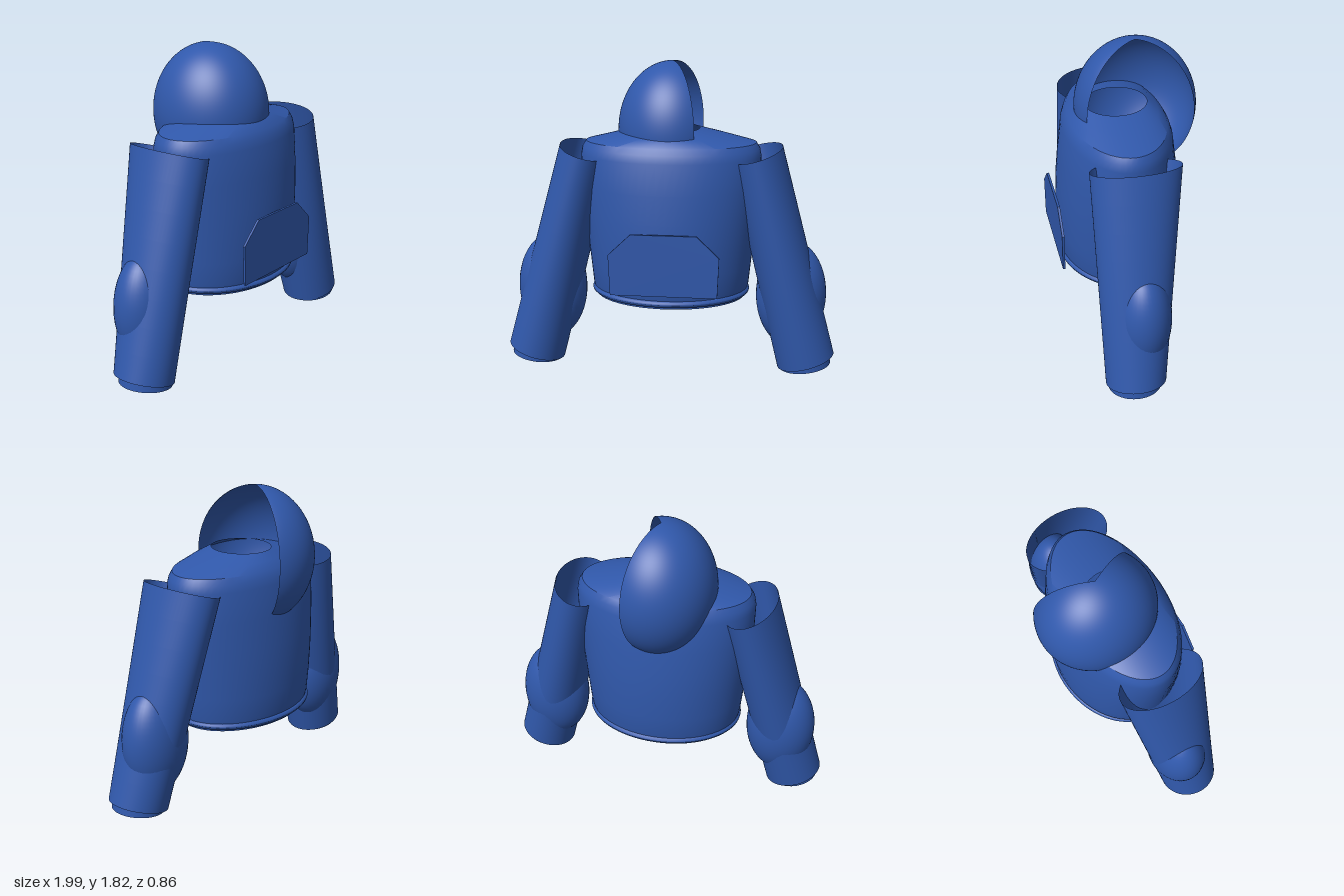
import * as THREE from 'three';
import { toCreasedNormals } from 'three/addons/utils/BufferGeometryUtils.js';

const blue = new THREE.MeshStandardMaterial({ color: 0x3058ab, side: THREE.DoubleSide });
blue.name = 'blue fabric';

// Open skin over elliptical rings listed from bottom to top
function loft(rings, segments = 64) {
  const pos = [], index = [];
  for (const { c, rx, rz, tilt = 0 } of rings) {
    for (let j = 0; j < segments; j++) {
      const a = (j / segments) * Math.PI * 2, u = Math.cos(a) * rx;
      pos.push(c[0] + u * Math.cos(tilt), c[1] + u * Math.sin(tilt), c[2] + Math.sin(a) * rz);
    }
  }
  for (let i = 0; i < rings.length - 1; i++) {
    for (let j = 0; j < segments; j++) {
      const k = (j + 1) % segments, lo = i * segments, hi = lo + segments;
      index.push(lo + j, hi + j, lo + k, hi + j, hi + k, lo + k);
    }
  }
  const g = new THREE.BufferGeometry();
  g.setAttribute('position', new THREE.Float32BufferAttribute(pos, 3));
  g.setIndex(index);
  return toCreasedNormals(g, 0.5);
}

export function createModel() {
  const model = new THREE.Group();
  model.name = 'hoodedJacket';
  const add = (name, geometry, parent = model) => {
    const m = new THREE.Mesh(geometry, blue);
    m.name = name;
    parent.add(m);
    return m;
  };

  // Torso: y, half width, half depth
  const torso = [
    [0.47, 0.46, 0.345], [0.52, 0.472, 0.357], [0.65, 0.485, 0.364], [0.8, 0.5, 0.365],
    [0.95, 0.515, 0.358], [1.12, 0.53, 0.34], [1.3, 0.535, 0.315], [1.345, 0.527, 0.3],
    [1.38, 0.505, 0.28], [1.42, 0.34, 0.24], [1.458, 0.17, 0.182],
  ];
  add('torso', loft(torso.map(([y, rx, rz]) => ({ c: [0, y, 0.037], rx, rz }))));

  // Hem: rolled cord with a narrow band below it
  const hem = new THREE.TorusGeometry(1, 0.05, 12, 80);
  const p = hem.attributes.position;
  for (let i = 0; i < p.count; i++) {
    const a = Math.atan2(p.getY(i), p.getX(i));
    const r = Math.hypot(p.getX(i), p.getY(i)) - 1;
    p.setXYZ(i, Math.cos(a) * (0.457 + r * 0.4), 0.48 - p.getZ(i) * 0.4,
      0.037 + Math.sin(a) * (0.347 + r * 0.4));
  }
  hem.computeVertexNormals();
  add('hemCord', hem);
  add('hemBand', loft([
    { c: [0, 0.445, 0.037], rx: 0.45, rz: 0.337 },
    { c: [0, 0.485, 0.037], rx: 0.45, rz: 0.337 },
  ]));

  // Hood: hollow ellipsoid with a wedge left open on the +x side
  const gap = 1.07;
  const hood = new THREE.SphereGeometry(1, 64, 40, Math.PI + gap, 2 * (Math.PI - gap), 0, Math.PI * 0.8);
  hood.scale(0.326, 0.408, 0.356).translate(0, 1.43, -0.077);
  add('hood', hood);

  // Front pocket panel
  const outline = [[-0.31, 0.54], [0.31, 0.54], [0.32, 0.78], [0.19, 0.905], [-0.19, 0.905], [-0.32, 0.78]];
  const pocket = new THREE.ExtrudeGeometry(
    new THREE.Shape(outline.map(([x, y]) => new THREE.Vector2(x, y))),
    { depth: 0.014, bevelEnabled: false });
  add('frontPocket', pocket.translate(0, 0, 0.414));

  // Sleeves, mirrored
  for (const s of [1, -1]) {
    const arm = new THREE.Group();
    arm.name = s > 0 ? 'leftSleeve' : 'rightSleeve';
    model.add(arm);
    const tilt = s * 0.283;

    const rings = [];
    for (let i = 0; i <= 8; i++) {
      const t = i / 8, mix = (a, b) => a + (b - a) * t;
      rings.push({
        c: [s * mix(0.828, 0.505), mix(0.066, 1.315), mix(0.105, 0.035)],
        rx: mix(0.175, 0.161), rz: mix(0.176, 0.26), tilt,
      });
    }
    add('sleeve', loft(rings), arm);

    const elbow = new THREE.SphereGeometry(1, 40, 28);
    elbow.scale(0.21, 0.33, 0.17).translate(s * 0.73, 0.46, 0.05);
    add('elbowPuff', elbow, arm);

    const cuff = new THREE.CylinderGeometry(0.155, 0.155, 0.1, 48);
    cuff.rotateZ(s * 0.14).translate(s * 0.817, 0.085, 0.112);
    add('cuff', cuff, arm);
  }
  return model;
}
